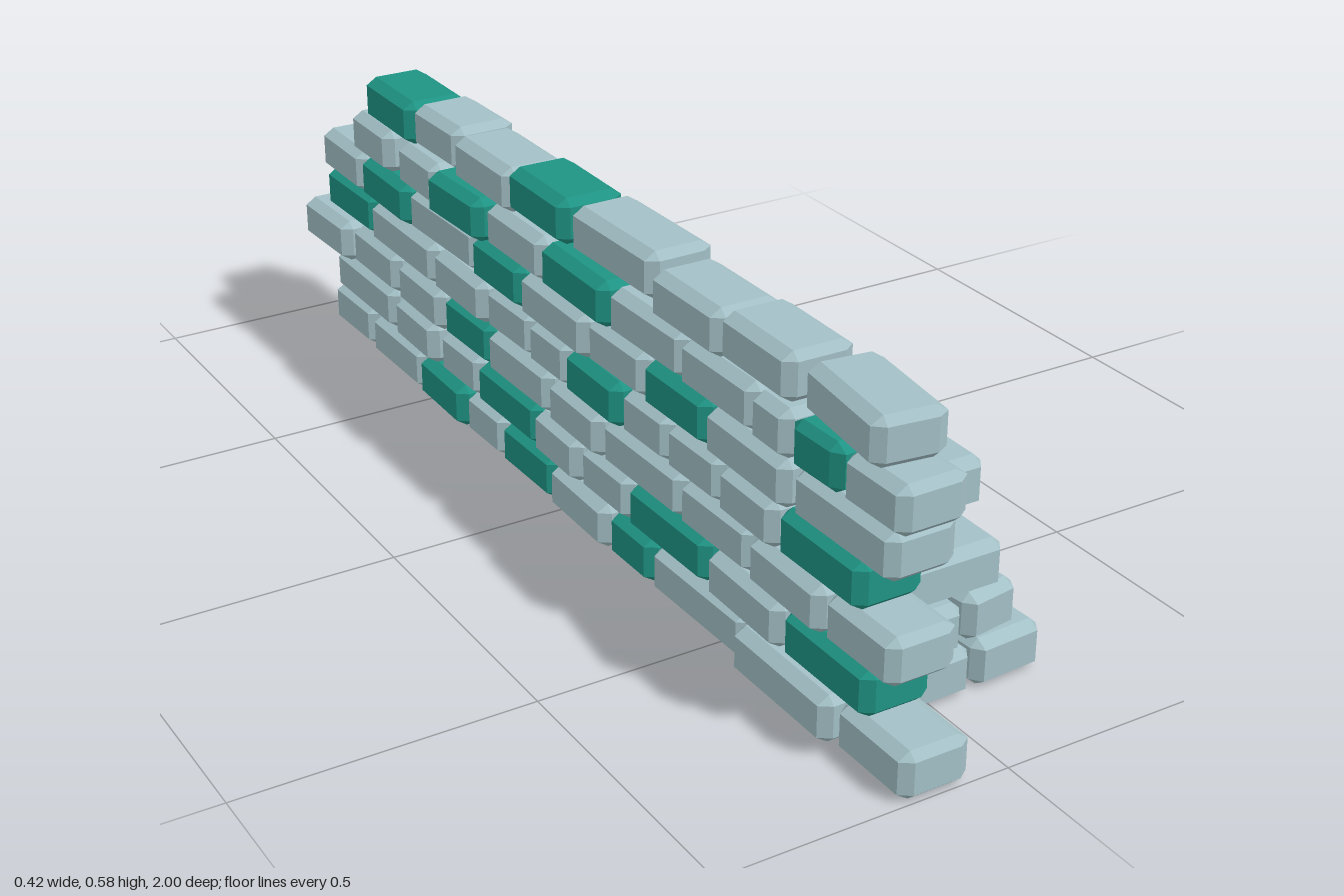
import * as THREE from 'three';
import { ConvexGeometry } from 'three/addons/geometries/ConvexGeometry.js';

const stone = new THREE.MeshStandardMaterial({ color: 0xa3c0c6, flatShading: true });
const teal = new THREE.MeshStandardMaterial({ color: 0x1f9484, flatShading: true });

const PITCH = 0.081, HEIGHT = 0.081, WIDTH = 0.122, WALL_X = -0.128;

// Box with every edge and corner chamfered; wide bevels across the thickness
function brickGeometry(length) {
  const h = [WIDTH / 2, HEIGHT / 2, length / 2];
  const c = [0.02, 0.013, 0.014];
  const points = [];
  for (const sx of [-1, 1]) for (const sy of [-1, 1]) for (const sz of [-1, 1]) {
    for (let full = 0; full < 3; full++) {
      const p = h.map((v, i) => (i === full ? v : v - c[i]));
      points.push(new THREE.Vector3(p[0] * sx, p[1] * sy, p[2] * sz));
    }
  }
  return new ConvexGeometry(points);
}

function addBrick(parent, name, length, x, y, z, yaw, material) {
  const brick = new THREE.Mesh(brickGeometry(length), material);
  brick.name = name;
  brick.position.set(x, y, z);
  brick.rotation.y = yaw;
  parent.add(brick);
  return brick;
}

// Long wall: each course lists [start z, end z] pairs and the indices of teal bricks
const courses = [
  { teal: [3, 5, 7], ends: [1, 0.83, 0.825, 0.575, 0.57, 0.305, 0.3, 0.17, 0.165, -0.025, -0.03, -0.21,
    -0.215, -0.35, -0.355, -0.53, -0.535, -0.745, -0.76, -0.925] },
  { teal: [0, 2, 5], ends: [0.9, 0.685, 0.68, 0.48, 0.46, 0.23, 0.225, 0.075, 0.07, -0.08, -0.085, -0.3,
    -0.305, -0.45, -0.47, -0.63, -0.65, -0.9] },
  { teal: [6], ends: [0.955, 0.79, 0.785, 0.595, 0.585, 0.39, 0.385, 0.15, 0.145, -0.025, -0.04, -0.255,
    -0.26, -0.43, -0.435, -0.61, -0.63, -0.815, -0.82, -1] },
  { teal: [0, 4, 9], ends: [0.87, 0.665, 0.66, 0.51, 0.5, 0.35, 0.345, 0.21, 0.205, 0.035, 0.03, -0.1,
    -0.105, -0.26, -0.265, -0.455, -0.465, -0.725, -0.735, -0.935] },
  { teal: [2, 5, 7], ends: [0.94, 0.7, 0.69, 0.47, 0.46, 0.28, 0.27, 0.1, 0.1, -0.12, -0.13, -0.305,
    -0.31, -0.56, -0.565, -0.755, -0.76, -0.935] },
  { teal: [4, 6], ends: [0.96, 0.82, 0.69, 0.595, 0.59, 0.39, 0.385, 0.17, 0.165, -0.045, -0.05, -0.245,
    -0.255, -0.435, -0.44, -0.59, -0.635, -0.79] },
  { teal: [4, 7], ends: [0.91, 0.7, 0.695, 0.51, 0.495, 0.305, 0.295, 0.05, 0.035, -0.155, -0.16, -0.36,
    -0.365, -0.53, -0.535, -0.72] },
];

// Bricks knocked clearly out of line: 'course-index' -> [x, yaw]
const loose = {
  '6-0': [-0.118, -0.12],
  '2-9': [-0.147, 0.03],
  '5-6': [-0.146, 0.03],
  '0-1': [-0.145, 0],
};
const topLift = [0, 0.012, 0, 0.016, 0.016, 0.004, 0.01, 0.006];

// Short return wall: [course, start x, end x, z, yaw, teal]
const returns = [
  [0, -0.066, 0.073, 0.76, 0.03], [0, 0.078, 0.21, 0.755, 0.06],
  [1, -0.062, 0.053, 0.76, 0], [1, 0.058, 0.163, 0.745, 0.15],
  [2, -0.065, 0.135, 0.745, 0],
  [3, -0.07, 0.02, 0.76, 0.04],
  [4, -0.068, 0.076, 0.76, 0],
  [5, -0.19, 0, 0.752, 0.03, true],
];

export function createModel() {
  const model = new THREE.Group();
  model.name = 'brokenBrickWall';

  const longWall = new THREE.Group();
  longWall.name = 'longWall';
  courses.forEach((course, row) => {
    for (let i = 0; i < course.ends.length / 2; i++) {
      const a = course.ends[2 * i], b = course.ends[2 * i + 1];
      const wobble = Math.sin(row * 12.7 + i * 4.3);
      const [x, yaw] = loose[`${row}-${i}`] ?? [WALL_X + wobble * 0.005, wobble * 0.018];
      const lift = row === 6 ? topLift[i] : 0;
      addBrick(longWall, 'wallBrick', a - b, x, HEIGHT / 2 + row * PITCH + lift, (a + b) / 2, yaw,
        course.teal.includes(i) ? teal : stone);
    }
  });

  const returnWall = new THREE.Group();
  returnWall.name = 'returnWall';
  for (const [row, a, b, z, yaw, isTeal] of returns) {
    addBrick(returnWall, 'returnBrick', b - a, (a + b) / 2, HEIGHT / 2 + row * PITCH, z,
      Math.PI / 2 + yaw, isTeal ? teal : stone);
  }

  model.add(longWall, returnWall);
  return model;
}
